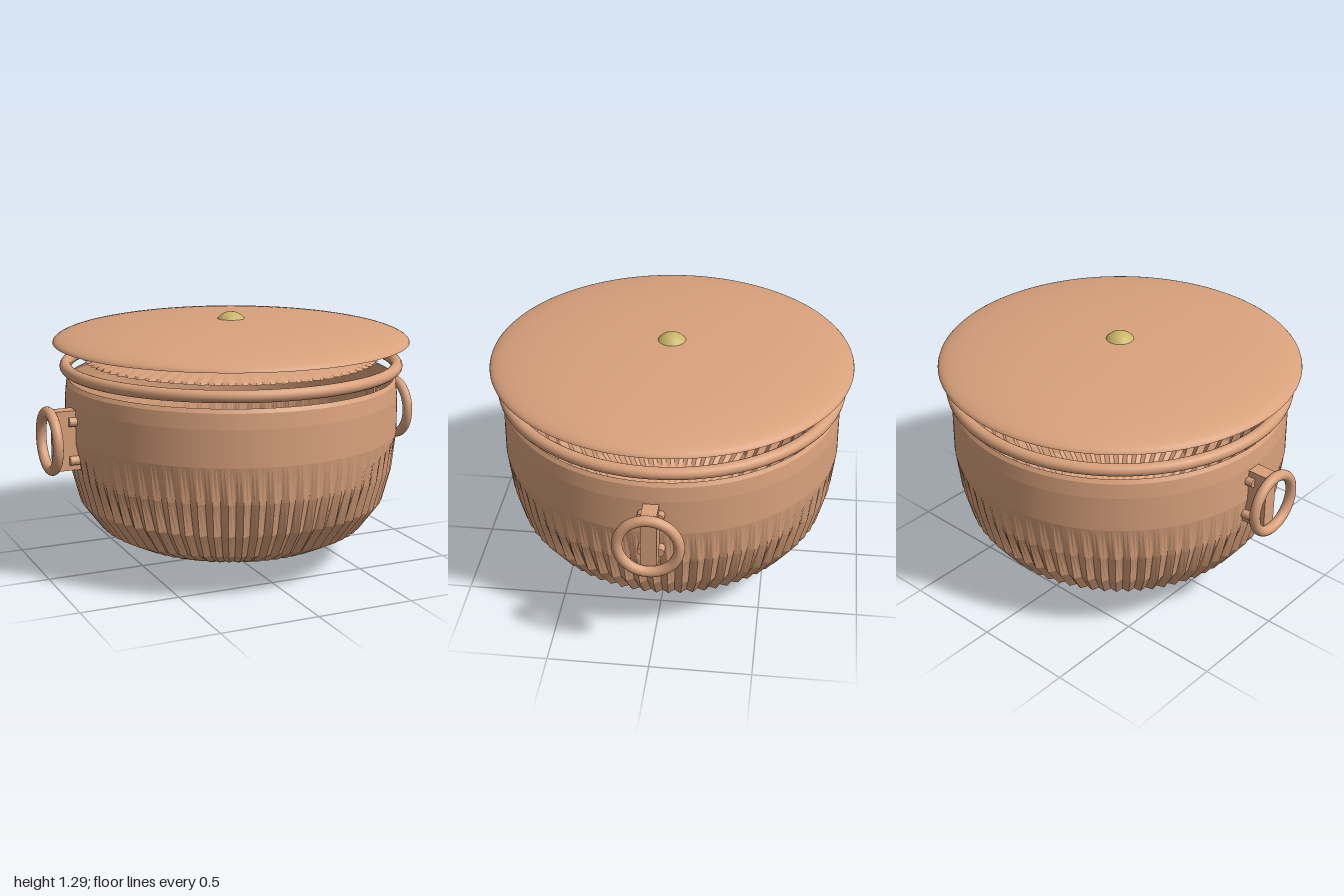
import * as THREE from 'three';

const copper = new THREE.MeshStandardMaterial({ color: 0xd9a17c });
const copperOpen = new THREE.MeshStandardMaterial({ color: 0xd9a17c, side: THREE.DoubleSide });
const copperFaceted = new THREE.MeshStandardMaterial({ color: 0xd9a17c, side: THREE.DoubleSide, flatShading: true });
const brass = new THREE.MeshStandardMaterial({ color: 0xc8b568 });

const RIBS = 72;

function add(parent, name, geometry, material, x = 0, y = 0, z = 0) {
  const mesh = new THREE.Mesh(geometry, material);
  mesh.name = name;
  mesh.position.set(x, y, z);
  parent.add(mesh);
  return mesh;
}

// Lathe whose radius is rippled by ribs; amplitude depends on radius and height
function ribbedLathe(profile, amplitude) {
  const geo = new THREE.LatheGeometry(profile.map(([r, y]) => new THREE.Vector2(r, y)), RIBS * 4);
  const p = geo.attributes.position;
  for (let i = 0; i < p.count; i++) {
    const x = p.getX(i), y = p.getY(i), z = p.getZ(i);
    const r = Math.hypot(x, z);
    if (r < 0.01) continue;
    const wave = Math.cos(Math.atan2(z, x) * RIBS) * amplitude(r, y);
    p.setXYZ(i, x * (1 + wave / r), y, z * (1 + wave / r));
  }
  geo.computeVertexNormals();
  return geo;
}

// Upper half of a flattened sphere as a lathe profile, centre last
function domeProfile(radius, height, steps) {
  return Array.from({ length: steps + 1 }, (_, i) => {
    const a = (i / steps) * Math.PI / 2;
    return [i === steps ? 0 : radius * Math.cos(a), height * Math.sin(a)];
  });
}

function createHandle(side) {
  const handle = new THREE.Group();
  handle.name = side > 0 ? 'leftHandle' : 'rightHandle';
  add(handle, 'bracket', new THREE.BoxGeometry(0.13, 0.3, 0.075), copper, 0.89, 0.715, 0);
  const ring = add(handle, 'ring', new THREE.TorusGeometry(0.145, 0.026, 16, 48), copper, 0.974, 0.715, 0);
  ring.rotation.y = Math.PI / 2;
  for (const y of [0.615, 0.81]) {
    for (const z of [-0.042, 0.042]) {
      const rivet = add(handle, 'rivet', new THREE.CylinderGeometry(0.023, 0.023, 0.05, 12), copper, 0.862, y, z);
      rivet.rotation.z = Math.PI / 2;
    }
  }
  if (side < 0) handle.rotation.y = Math.PI;
  return handle;
}

export function createModel() {
  const model = new THREE.Group();
  model.name = 'lidded pot';

  // Body: pointed base, ribs fading out towards the smooth upper wall
  const bowl = [[0, 0.003], [0.42, 0.1], [0.55, 0.145], [0.675, 0.21], [0.775, 0.345],
    [0.825, 0.515], [0.852, 0.7], [0.85, 0.88], [0.842, 0.955], [0.83, 0.975]];
  const fade = (r, y) => 0.013 * THREE.MathUtils.clamp((0.7 - y) / 0.35, 0, 1) * Math.min(1, r / 0.6);
  add(model, 'bowl', ribbedLathe(bowl, fade), copperFaceted);

  // Rolled rim floating just above the body
  const rim = add(model, 'rim', new THREE.TorusGeometry(0.843, 0.03, 16, 128), copper, 0, 1.035, 0);
  rim.rotation.x = Math.PI / 2;

  // Shallow ribbed inner cover
  add(model, 'innerCover', ribbedLathe(domeProfile(0.745, 0.045, 8), (r) => 0.01 * r / 0.745),
    copperFaceted, 0, 1.065, 0);

  // Domed lid, open underneath, with a ball knob set through it
  const lid = new THREE.LatheGeometry(domeProfile(0.905, 0.105, 20).map(([r, y]) => new THREE.Vector2(r, y)), 128);
  add(model, 'lid', lid, copperOpen, 0, 1.155, 0);
  add(model, 'knob', new THREE.SphereGeometry(0.085, 32, 24), brass, 0, 1.21, 0);

  model.add(createHandle(1), createHandle(-1));
  return model;
}
